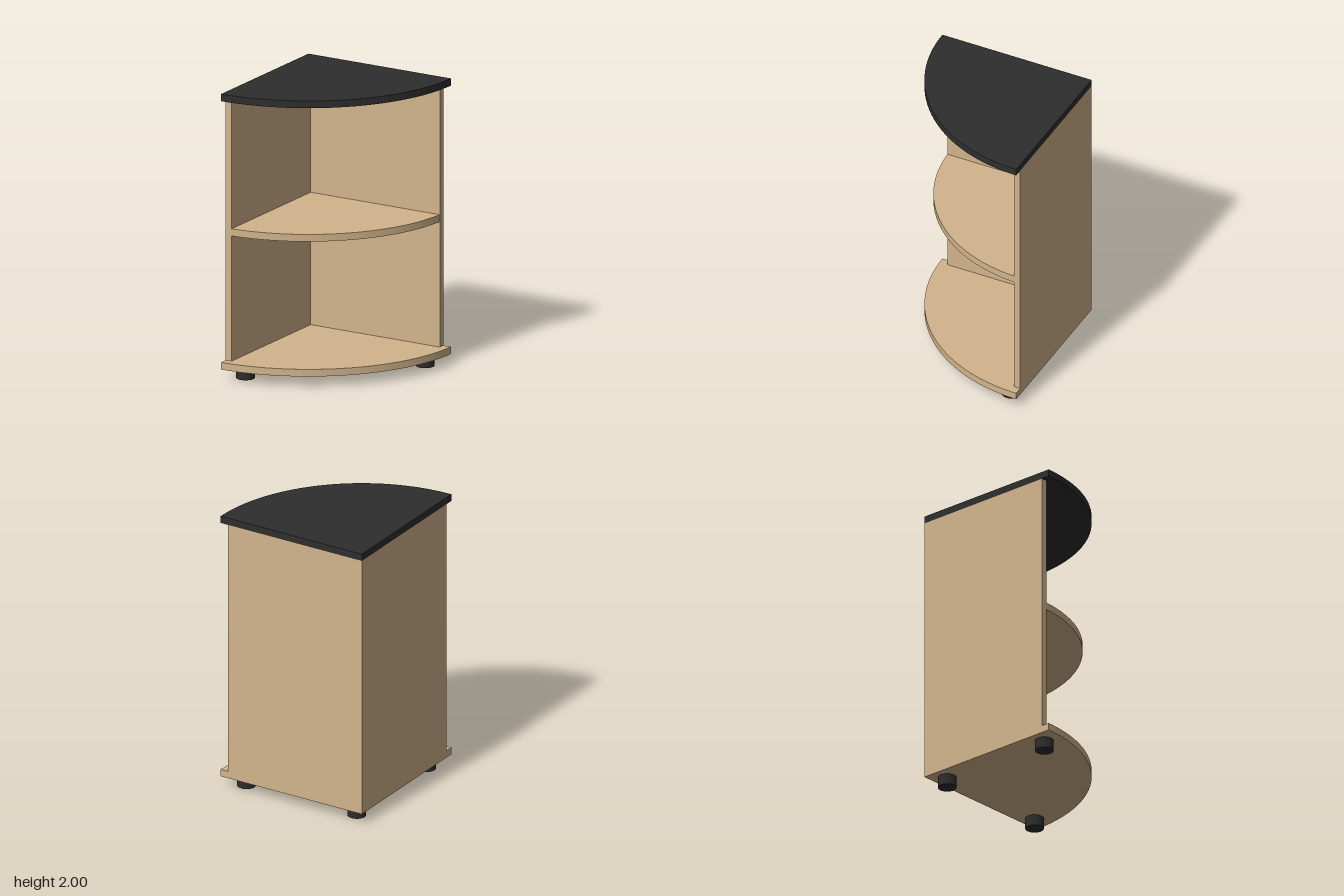
import * as THREE from 'three';
import { toCreasedNormals } from 'three/addons/utils/BufferGeometryUtils.js';

const CORNER = -0.56; // both outer walls meet at x = z = CORNER
const THICK = 0.045;

// Horizontal quarter-round board; inset pulls the straight edges inside the walls
function quarterBoard(radius, bottom, top, inset = 0) {
  const a = Math.asin(inset / radius);
  const start = CORNER + inset;
  const shape = new THREE.Shape();
  shape.moveTo(start, start);
  shape.lineTo(CORNER + radius * Math.cos(a), start);
  shape.absarc(CORNER, CORNER, radius, a, Math.PI / 2 - a, false);
  shape.closePath();
  const geo = new THREE.ExtrudeGeometry(shape, { depth: top - bottom, bevelEnabled: false, curveSegments: 24 });
  geo.rotateX(Math.PI / 2); // shape y becomes z, depth runs downwards
  geo.translate(0, top, 0);
  return toCreasedNormals(geo, 0.5);
}

export function createModel() {
  const wood = new THREE.MeshStandardMaterial({ color: 0xd2b48c });
  wood.name = 'light wood';
  const black = new THREE.MeshStandardMaterial({ color: 0x2e2e2e });
  black.name = 'black';

  const model = new THREE.Group();
  model.name = 'cornerShelf';
  const add = (name, geo, mat, x = 0, y = 0, z = 0) => {
    const mesh = new THREE.Mesh(geo, mat);
    mesh.name = name;
    mesh.position.set(x, y, z);
    model.add(mesh);
  };

  // Quarter-round boards
  add('baseBoard', quarterBoard(1.12, 0.075, 0.125), wood);
  add('middleShelf', quarterBoard(1.06, 1.0, 1.05, THICK), wood);
  add('topBoard', quarterBoard(1.12, 1.95, 2.0), black);

  // Two upright panels meeting at the corner
  const height = 1.825, midY = 0.125 + height / 2;
  const end = 0.5;
  const inner = CORNER + THICK;
  add('backPanel', new THREE.BoxGeometry(end - CORNER, height, THICK), wood,
    (end + CORNER) / 2, midY, CORNER + THICK / 2);
  add('sidePanel', new THREE.BoxGeometry(THICK, height, end - inner), wood,
    CORNER + THICK / 2, midY, (end + inner) / 2);

  // Three round feet
  const footGeo = new THREE.CylinderGeometry(0.0625, 0.0625, 0.075, 32);
  [['cornerFoot', -0.452, -0.452], ['leftFoot', 0.423, -0.452], ['frontFoot', -0.452, 0.423]]
    .forEach(([name, x, z]) => add(name, footGeo, black, x, 0.0375, z));

  return model;
}
